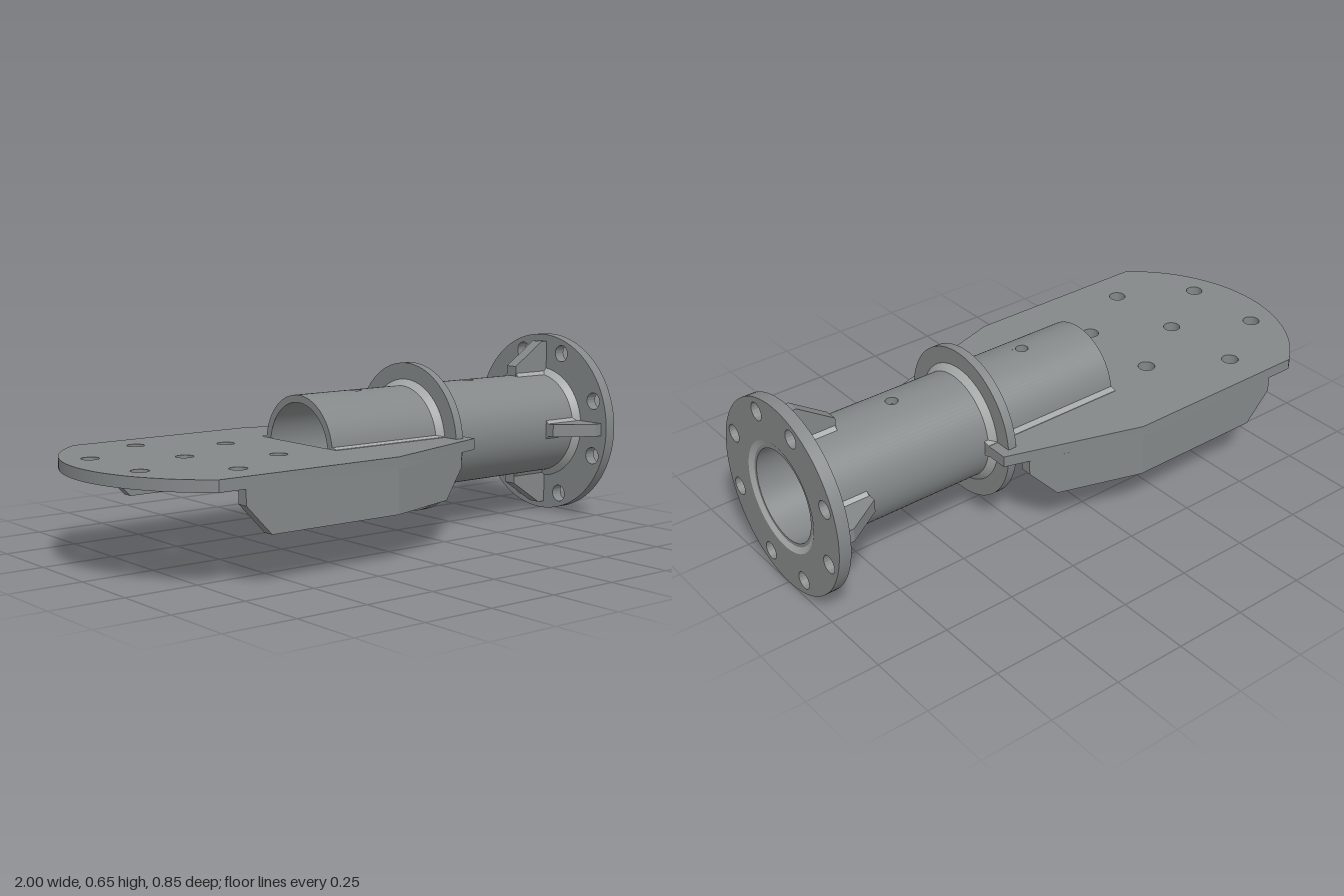
import * as THREE from 'three';
import { mergeGeometries, toCreasedNormals } from 'three/addons/utils/BufferGeometryUtils.js';

const AXIS = 0.327;          // height of the tube axis
const OUTER = 0.182, BORE = 0.157;
const TUBE_START = -0.18, TUBE_END = 0.99;
const PLATE_TOP = 0.348, PLATE_BOTTOM = 0.31, SKIRT_BOTTOM = 0.163;

export function createModel() {
  const steel = new THREE.MeshStandardMaterial({ color: 0x848888, side: THREE.DoubleSide });
  steel.name = 'steel grey';
  const bead = new THREE.MeshStandardMaterial({ color: 0xa6aaa9, side: THREE.DoubleSide });
  bead.name = 'weld light grey';
  const model = new THREE.Group();
  model.name = 'flangedTubeMount';

  const add = (name, geometry, y = 0, material = steel) => {
    const mesh = new THREE.Mesh(geometry, material);
    mesh.name = name;
    mesh.position.y = y;
    model.add(mesh);
    return mesh;
  };
  const polygon = (pts) => new THREE.Shape(pts.map(([a, b]) => new THREE.Vector2(a, b)));
  const circle = (a, b, r) => new THREE.Path().absarc(a, b, r, 0, Math.PI * 2, true);
  const extrude = (shape, depth, curveSegments = 24) =>
    new THREE.ExtrudeGeometry(shape, { depth, bevelEnabled: false, curveSegments });
  // Revolve [x, radius] points about the x axis
  const revolve = (pts) => toCreasedNormals(
    new THREE.LatheGeometry(pts.map(([x, r]) => new THREE.Vector2(r, x)), 96).rotateZ(-Math.PI / 2), 0.5);

  // Surface patch from a rule (u, v in 0..1)
  const patch = (nu, nv, rule) => {
    const g = new THREE.PlaneGeometry(1, 1, nu, nv);
    const p = g.attributes.position;
    for (let i = 0; i < p.count; i++) p.setXYZ(i, ...rule(p.getX(i) + 0.5, p.getY(i) + 0.5));
    g.computeVertexNormals();
    return g;
  };

  // Tube with drilled holes through top and bottom
  const drills = [0.06, 0.58], drillR = 0.021, half = 0.03;
  const tube = [];
  const onTube = (x, z, R, s) => [x, s * Math.sqrt(R * R - z * z), z];
  for (const R of [OUTER, BORE]) {
    const a = Math.asin(half / R);
    for (const s of [1, -1]) {
      // plain side wall
      tube.push(patch(1, 40, (u, v) => {
        const t = a + (Math.PI - 2 * a) * v;
        return [TUBE_START + (TUBE_END - TUBE_START) * u, R * Math.cos(t), s * R * Math.sin(t)];
      }));
      // strips between the drilled patches
      const stops = [TUBE_START, ...drills.flatMap((d) => [d - half, d + half]), TUBE_END];
      for (let i = 0; i < stops.length; i += 2) {
        tube.push(patch(1, 6, (u, v) =>
          onTube(stops[i] + (stops[i + 1] - stops[i]) * u, R * Math.sin(a * (2 * v - 1)), R, s)));
      }
      // square patches around each round hole
      for (const d of drills) {
        tube.push(patch(32, 2, (u, v) => {
          const c = Math.cos(u * Math.PI * 2), n = Math.sin(u * Math.PI * 2);
          const r = drillR + (half / Math.max(Math.abs(c), Math.abs(n)) - drillR) * v;
          return onTube(d + r * c, r * n, R, s);
        }));
      }
    }
  }
  // hole walls
  for (const d of drills) for (const s of [1, -1]) {
    tube.push(patch(32, 1, (u, v) => {
      const t = u * Math.PI * 2;
      return onTube(d + drillR * Math.cos(t), drillR * Math.sin(t), v ? OUTER : BORE, s);
    }));
  }
  // end faces
  tube.push(new THREE.RingGeometry(BORE, OUTER, 96).rotateY(-Math.PI / 2).translate(TUBE_START, 0, 0));
  tube.push(new THREE.RingGeometry(BORE, OUTER, 96).rotateY(Math.PI / 2).translate(TUBE_END, 0, 0));
  add('tube', mergeGeometries(tube), AXIS);

  // End flange with bolt holes set in pairs
  const disc = new THREE.Shape().absarc(0, 0, AXIS, 0, Math.PI * 2);
  disc.holes.push(circle(0, 0, 0.187));
  for (const [z, y] of [[0.098, 0.261], [0.261, 0.1]]) {
    for (const sz of [1, -1]) for (const sy of [1, -1]) disc.holes.push(circle(sz * z, sy * y, 0.03));
  }
  add('flange', toCreasedNormals(
    extrude(disc, 0.042, 48).rotateY(Math.PI / 2).translate(0.958, 0, 0), 0.5), AXIS);

  // Round welds: bore mouth, back of the flange, both sides of the collar
  add('boreWeld', revolve([[TUBE_END + 0.0005, 0.168], [1, 0.187]]), AXIS, bead);
  add('flangeWeld', revolve([[0.937, OUTER], [0.958, 0.203]]), AXIS, bead);
  add('collarWeldInner', revolve([[0.268, OUTER], [0.289, 0.203]]), AXIS, bead);
  add('collarWeldOuter', revolve([[0.32, 0.203], [0.341, OUTER]]), AXIS, bead);

  // Collar ring
  add('collar', revolve([[0.289, 0.18], [0.289, 0.26], [0.32, 0.26], [0.32, 0.18]]), AXIS);

  // Four gussets behind the flange
  for (let i = 0; i < 4; i++) {
    const web = extrude(polygon([[0.8, 0.175], [0.8, 0.217], [0.93, 0.302], [0.96, 0.302], [0.96, 0.175]]), 0.045);
    add('gusset', web.translate(0, 0, -0.0225), AXIS).rotation.x = i * Math.PI / 2;
    // fillet welds at the gusset foot
    for (const s of [1, -1]) {
      const weld = extrude(polygon([[s * 0.022, 0.178], [s * 0.034, 0.178], [s * 0.022, 0.192]]), 0.155);
      add('gussetWeld', weld.rotateY(Math.PI / 2).translate(0.802, 0, 0), AXIS, bead).rotation.x = i * Math.PI / 2;
    }
  }

  // Base plate: rounded end, tapered sides, slot for the tube
  const arcX = -0.472, arcR = 0.528, arcT = Math.atan2(0.425, -0.785 - arcX);
  const outline = new THREE.Shape();
  outline.moveTo(0.355, OUTER);
  outline.lineTo(0.355, 0.28);
  outline.lineTo(-0.105, 0.425);
  outline.lineTo(-0.785, 0.425);
  outline.absarc(arcX, 0, arcR, arcT, 2 * Math.PI - arcT, false);
  outline.lineTo(-0.105, -0.425);
  outline.lineTo(0.355, -0.28);
  outline.lineTo(0.355, -OUTER);
  outline.lineTo(TUBE_START, -OUTER);
  outline.lineTo(TUBE_START, OUTER);
  for (const [x, z] of [[-0.88, 0.148], [-0.37, 0.148], [-0.627, 0.295]]) {
    outline.holes.push(circle(x, z, 0.029), circle(x, -z, 0.029));
  }
  outline.holes.push(circle(-0.627, 0, 0.029));
  add('basePlate', toCreasedNormals(
    extrude(outline, PLATE_TOP - PLATE_BOTTOM).rotateX(Math.PI / 2).translate(0, PLATE_TOP, 0), 0.4));

  // Side skirts under the plate, and welds along the tube
  for (const side of [1, -1]) {
    const name = side > 0 ? 'front' : 'back';
    const inner = side > 0 ? 0.385 : -0.425;
    const straight = extrude(polygon([[-0.69, PLATE_BOTTOM], [-0.69, 0.26], [-0.597, SKIRT_BOTTOM],
      [-0.105, SKIRT_BOTTOM], [-0.105, PLATE_BOTTOM]]), 0.04);
    add(name + 'SkirtStraight', straight.translate(0, 0, inner));

    const tapered = extrude(polygon([[-0.105, PLATE_BOTTOM], [-0.105, SKIRT_BOTTOM],
      [0.18, SKIRT_BOTTOM], [0.272, 0.26], [0.272, PLATE_BOTTOM]]), 0.04);
    tapered.translate(0, 0, inner);
    const p = tapered.attributes.position;
    for (let i = 0; i < p.count; i++) p.setZ(i, p.getZ(i) - side * (p.getX(i) + 0.105) * 0.315);
    tapered.computeVertexNormals();
    add(name + 'SkirtTapered', tapered);

    for (const [y, up] of [[PLATE_TOP, 1], [PLATE_BOTTOM, -1]]) {
      const weld = extrude(polygon([[side * 0.178, y], [side * 0.203, y],
        [side * 0.203, y + up * 0.002], [side * 0.178, y + up * 0.007]]), 0.535);
      add(name + 'TubeWeld', weld.rotateY(Math.PI / 2).translate(TUBE_START, 0, 0), 0, bead);
    }
  }
  return model;
}
